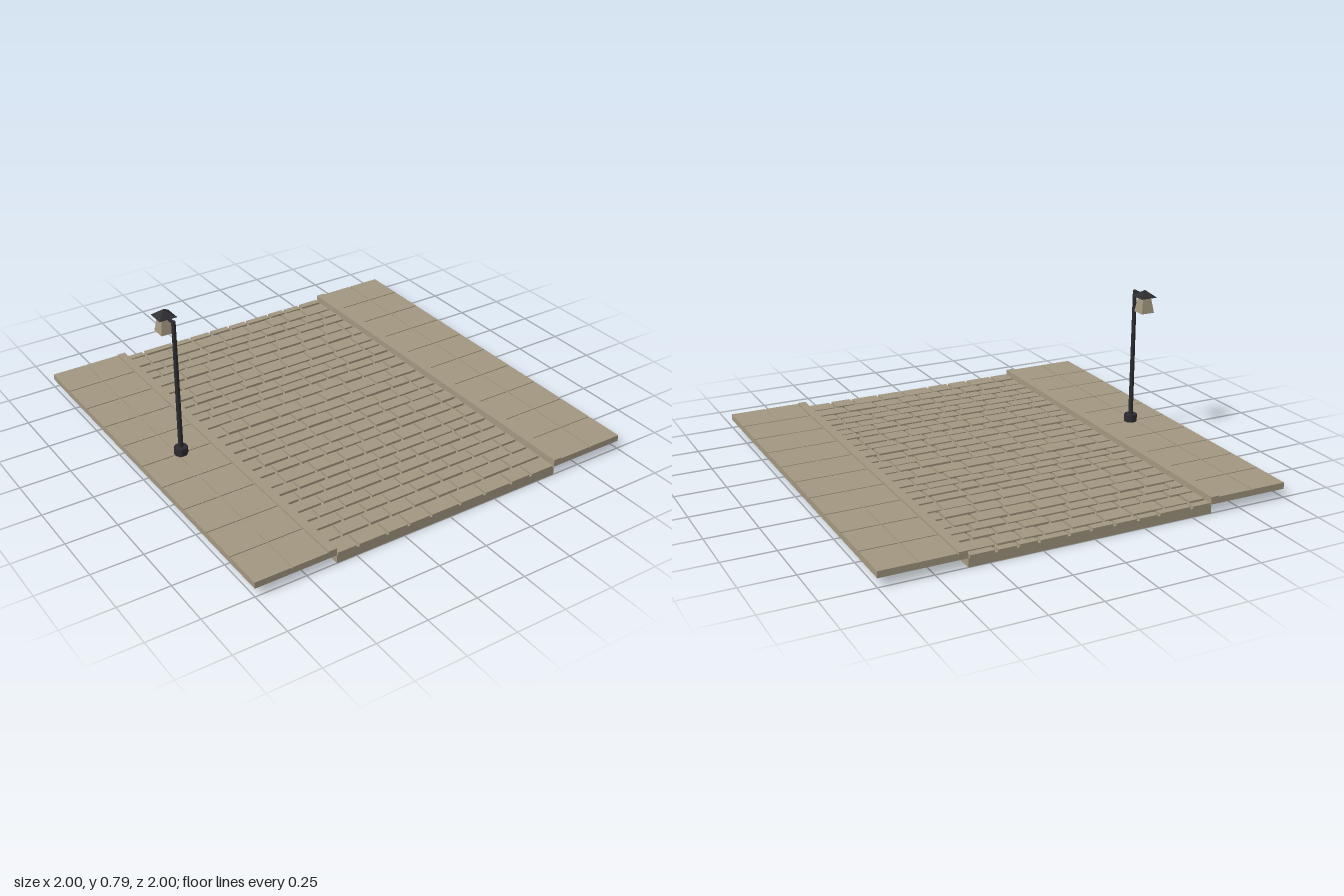
import * as THREE from 'three';
import { mergeGeometries } from 'three/addons/utils/BufferGeometryUtils.js';

const stone = new THREE.MeshStandardMaterial({ color: 0xa39780 });
stone.name = 'stone';
const iron = new THREE.MeshStandardMaterial({ color: 0x2c2c30 });
iron.name = 'iron';

// Box given by its minimum and maximum corners
function block(x0, x1, y0, y1, z0, z1) {
  return new THREE.BoxGeometry(x1 - x0, y1 - y0, z1 - z0)
    .translate((x0 + x1) / 2, (y0 + y1) / 2, (z0 + z1) / 2);
}

// Cylinder or frustum standing between two heights; four sides make a square
function post(bottom, top, y0, y1, sides) {
  return new THREE.CylinderGeometry(top, bottom, y1 - y0, sides)
    .rotateY(Math.PI / sides).translate(0, (y0 + y1) / 2, 0);
}

function add(parent, name, geometry, material) {
  if (material === iron || name === 'lampGlass') {
    geometry = geometry.toNonIndexed();
    geometry.computeVertexNormals();
  }
  const mesh = new THREE.Mesh(geometry, material);
  mesh.name = name;
  parent.add(mesh);
  return mesh;
}

function seeded(seed) {
  return () => (seed = (seed * 16807) % 2147483647) / 2147483647;
}

export function createModel() {
  const model = new THREE.Group();
  model.name = 'streetSection';

  // Road bed with rows of uneven cobbles
  add(model, 'roadBed', block(-0.6, 0.6, 0, 0.041, -1, 1), stone);
  const rowDepths = [
    0.05, 0.095, 0.073, 0.072, 0.093, 0.086, 0.095, 0.068, 0.077, 0.068, 0.086, 0.094, 0.077,
    0.083, 0.077, 0.09, 0.072, 0.094, 0.072, 0.075, 0.077, 0.077, 0.076, 0.09, 0.083,
  ];
  const total = rowDepths.reduce((a, b) => a + b, 0);
  const random = seeded(4321);
  const gap = 0.014;
  const cobbles = [];
  let z = -1;
  rowDepths.forEach((d, row) => {
    const depth = d * 2 / total;
    const z1 = row === rowDepths.length - 1 ? 1 : z + depth - gap;
    let x = -0.595;
    let width = row % 2 ? 0.06 + random() * 0.03 : 0.09 + random() * 0.06;
    while (x < 0.59) {
      let end = x + width;
      if (end > 0.54) end = 0.592;
      cobbles.push(block(x, end, 0.04, 0.05 + random() * 0.004, z, z1));
      x = end + gap;
      width = 0.085 + random() * 0.075;
    }
    z += depth;
  });
  add(model, 'cobbles', mergeGeometries(cobbles), stone);

  // Pavement, slabs and kerb on both sides
  for (const side of [-1, 1]) {
    const pavement = new THREE.Group();
    pavement.name = side < 0 ? 'rightPavement' : 'leftPavement';
    model.add(pavement);
    const strip = (a, b, y0, y1, z0, z1) =>
      block(Math.min(side * a, side * b), Math.max(side * a, side * b), y0, y1, z0, z1);
    add(pavement, 'kerb', strip(0.6, 0.642, 0.042, 0.078, -1, 1), stone);
    add(pavement, 'pavementBed', strip(0.642, 1, 0.042, 0.069, -1, 1), stone);
    const slabs = [];
    for (let i = 0; i < 10; i++) {
      const z0 = -1 + i * 0.2 + (i ? 0.003 : 0);
      const z1 = -0.8 + i * 0.2 - (i < 9 ? 0.003 : 0);
      slabs.push(strip(0.646, 0.818, 0.068, 0.073, z0, z1));
      slabs.push(strip(0.824, 1, 0.068, 0.073, z0, z1));
    }
    add(pavement, 'slabs', mergeGeometries(slabs), stone);
  }

  // Street lamp on the right pavement, hanging towards the back
  const lamp = new THREE.Group();
  lamp.name = 'streetLamp';
  lamp.position.x = -0.8;
  model.add(lamp);
  add(lamp, 'lampFoot', post(0.033, 0.033, 0.07, 0.111, 8), iron);
  add(lamp, 'lampPole', post(0.012, 0.01, 0.11, 0.763, 8), iron);
  add(lamp, 'lampArm', block(-0.006, 0.006, 0.751, 0.763, -0.09, 0), iron);

  // Square lantern head
  const head = new THREE.Group();
  head.name = 'lanternHead';
  head.position.z = -0.09;
  lamp.add(head);
  const corner = Math.SQRT2;
  add(head, 'lampGlass', post(0.035 * corner, 0.022 * corner, 0.674, 0.753, 4), stone);
  add(head, 'lampRoof', post(0.044 * corner, 0.001, 0.752, 0.786, 4), iron);

  return model;
}
